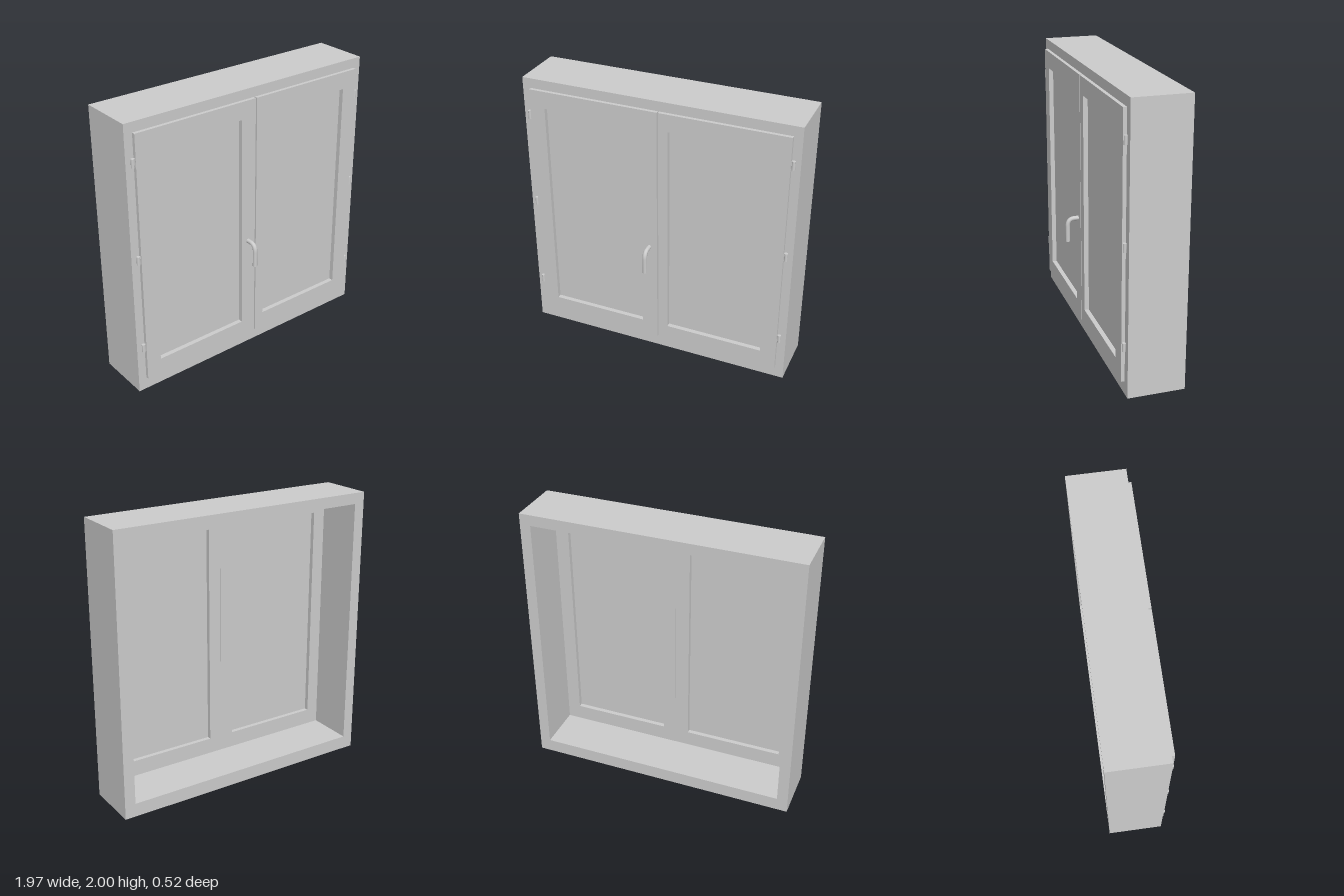
import * as THREE from 'three';

const grey = new THREE.MeshStandardMaterial({ color: 0xcccccc });

function mesh(name, geometry, parent) {
  const m = new THREE.Mesh(geometry, grey);
  m.name = name;
  parent.add(m);
  return m;
}

function rectangle(Type, x0, x1, y0, y1) {
  const p = new Type();
  p.moveTo(x0, y0);
  p.lineTo(x1, y0);
  p.lineTo(x1, y1);
  p.lineTo(x0, y1);
  p.closePath();
  return p;
}

// Rectangular ring between two [x0, x1, y0, y1] outlines, running from z0 to z1
function ring(outer, inner, z0, z1) {
  const shape = rectangle(THREE.Shape, ...outer);
  shape.holes.push(rectangle(THREE.Path, ...inner));
  const g = new THREE.ExtrudeGeometry(shape, { depth: z1 - z0, bevelEnabled: false });
  return g.translate(0, 0, z0);
}

// One window leaf: body inside the frame, wider lip in front, recessed pane
function sash(name, body, lip, opening) {
  const group = new THREE.Group();
  group.name = name;
  mesh('sashBody', ring(body, opening, 0.08, 0.14), group);
  mesh('sashLip', ring(lip, opening, 0.14, 0.165), group);
  const [x0, x1, y0, y1] = opening;
  mesh('pane', new THREE.BoxGeometry(x1 - x0, y1 - y0, 0.02), group)
    .position.set((x0 + x1) / 2, (y0 + y1) / 2, 0.122);
  return group;
}

export function createModel() {
  const model = new THREE.Group();
  model.name = 'window';

  // Deep surrounding frame
  mesh('frame', ring([-0.985, 0.985, 0, 2], [-0.907, 0.907, 0.098, 1.922], -0.26, 0.14), model);

  // Two leaves; the lips meet slightly to the left of the middle
  model.add(sash('rightSash', [-0.906, -0.001, 0.099, 1.921],
    [-0.925, 0.015, 0.095, 1.93], [-0.815, -0.1, 0.215, 1.805]));
  model.add(sash('leftSash', [0.001, 0.906, 0.099, 1.921],
    [0.025, 0.925, 0.095, 1.93], [0.095, 0.81, 0.215, 1.805]));

  // Three hinges on each side: a barrel with a small leaf
  for (const side of [-1, 1]) {
    for (const y of [0.355, 1.045, 1.735]) {
      const hinge = new THREE.Group();
      hinge.name = side > 0 ? 'leftHinge' : 'rightHinge';
      hinge.position.set(side * 0.94, y, 0.152);
      mesh('barrel', new THREE.CylinderGeometry(0.012, 0.012, 0.06, 20), hinge);
      mesh('hingeLeaf', new THREE.BoxGeometry(0.02, 0.06, 0.012), hinge)
        .position.x = -side * 0.01;
      model.add(hinge);
    }
  }

  // Bent handle: out from the leaf, round the bend and down
  const path = new THREE.CurvePath();
  const v = (y, z) => new THREE.Vector3(-0.045, y, z);
  path.add(new THREE.LineCurve3(v(0.88, 0.16), v(0.88, 0.195)));
  path.add(new THREE.QuadraticBezierCurve3(v(0.88, 0.195), v(0.88, 0.244), v(0.825, 0.244)));
  path.add(new THREE.LineCurve3(v(0.825, 0.244), v(0.71, 0.244)));
  const handle = new THREE.Group();
  handle.name = 'handle';
  mesh('handleBar', new THREE.TubeGeometry(path, 40, 0.016, 16), handle);
  const cap = mesh('handleEnd', new THREE.CircleGeometry(0.016, 16), handle);
  cap.rotation.x = Math.PI / 2;
  cap.position.copy(v(0.71, 0.244));
  model.add(handle);

  return model;
}
